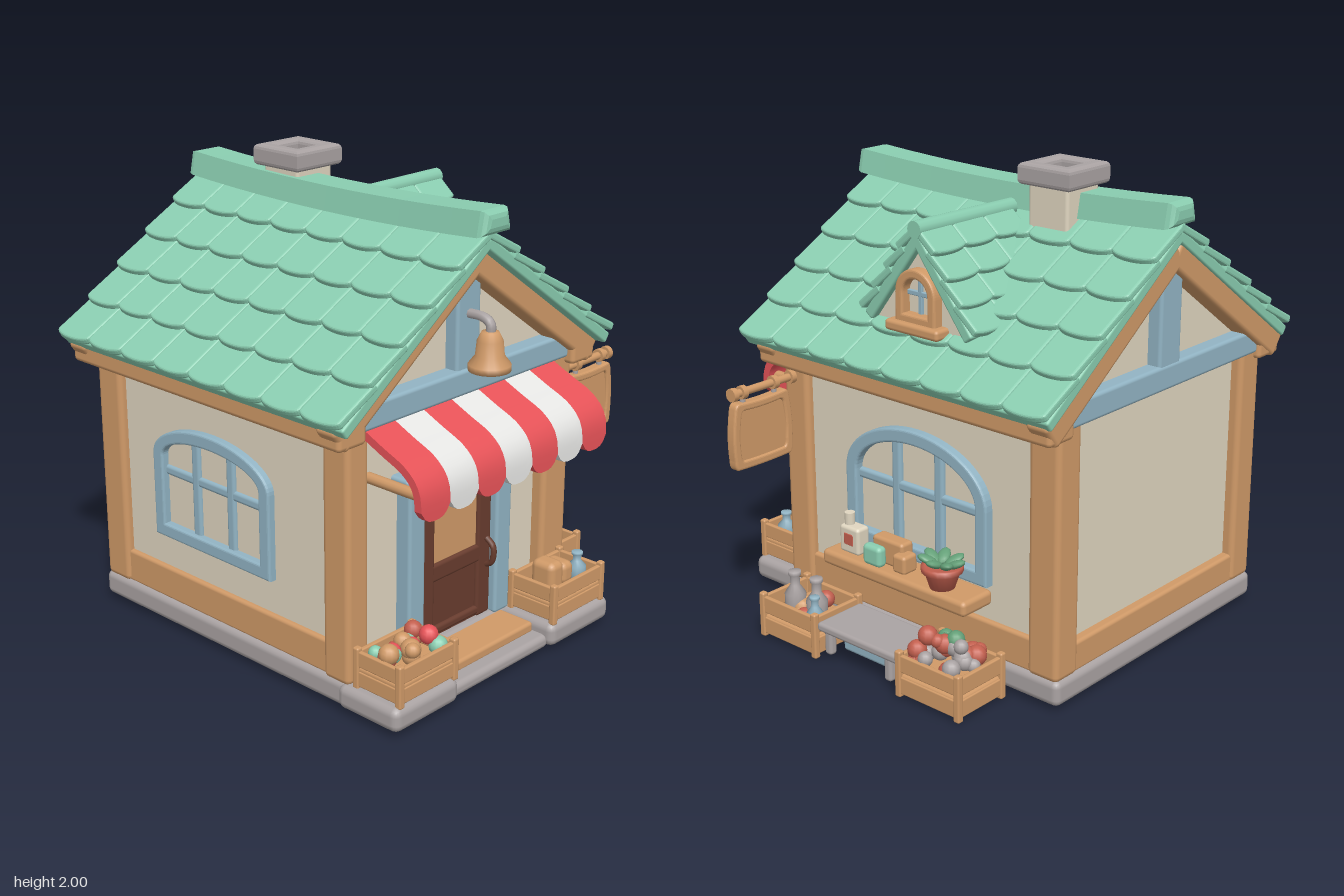
import * as THREE from 'three';
import { RoundedBoxGeometry } from 'three/addons/geometries/RoundedBoxGeometry.js';

const mat = (name, color) => Object.assign(new THREE.MeshStandardMaterial({ color }), { name });
const M = {
  roof: mat('roofGreen', 0x8acdb0), wood: mat('wood', 0xd09a68), plaster: mat('plaster', 0xe0d6c0),
  blue: mat('blueTrim', 0x92b4c4), stone: mat('stoneGrey', 0xaaa3a3), dark: mat('doorBrown', 0x683c2e),
  red: mat('red', 0xea5459), white: mat('white', 0xe6e6e4), clay: mat('clayRed', 0xc4604f), leaf: mat('leafGreen', 0x64a078),
};
const CX = -0.1; // centre line of the house

function add(parent, name, geo, material, x = 0, y = 0, z = 0) {
  const m = new THREE.Mesh(geo, material);
  m.name = name;
  m.position.set(x, y, z);
  parent.add(m);
  return m;
}
// rounded box given by its limits
function block(parent, name, material, x0, x1, y0, y1, z0, z1, r = 0.015) {
  const w = x1 - x0, h = y1 - y0, d = z1 - z0;
  const geo = new RoundedBoxGeometry(w, h, d, 2, Math.min(r, w / 2.2, h / 2.2, d / 2.2));
  return add(parent, name, geo, material, (x0 + x1) / 2, (y0 + y1) / 2, (z0 + z1) / 2);
}
function group(parent, name, x = 0, y = 0, z = 0, ry = 0) {
  const g = new THREE.Group();
  g.name = name;
  g.position.set(x, y, z);
  g.rotation.y = ry;
  parent.add(g);
  return g;
}
const poly = pts => new THREE.Shape(pts.map(p => new THREE.Vector2(...p)));
const extrude = (shape, depth, bevel = 0, steps = 1) => new THREE.ExtrudeGeometry(shape, {
  depth, steps, curveSegments: 16, bevelEnabled: bevel > 0, bevelSize: bevel, bevelThickness: bevel, bevelOffset: -bevel, bevelSegments: 3 });
function rod(parent, name, material, a, b, r) {
  const curve = new THREE.LineCurve3(new THREE.Vector3(...a), new THREE.Vector3(...b));
  const m = add(parent, name, new THREE.CylinderGeometry(r, r, curve.getLength(), 12), material);
  m.position.copy(curve.getPoint(0.5));
  m.quaternion.setFromUnitVectors(new THREE.Vector3(0, 1, 0), curve.getTangent(0));
}
// arch outline: straight sides, elliptical top
function arch(Cls, hw, y0, ySpring, yTop) {
  const s = new Cls();
  s.moveTo(-hw, y0); s.lineTo(hw, y0); s.lineTo(hw, ySpring);
  s.absellipse(0, ySpring, hw, yTop - ySpring, 0, Math.PI, false);
  s.lineTo(-hw, y0);
  return s;
}
function archFrame(hw, y0, spring, top, t, depth) {
  const s = arch(THREE.Shape, hw, y0, spring, top);
  s.holes.push(arch(THREE.Path, hw - t, y0 + t, spring, top - t));
  return extrude(s, depth, 0.01);
}
// one roof slope of overlapping scalloped tiles, hung from its top edge
function slope(parent, name, cols, rows, w, h, s, ry, x, y, z) {
  const g = group(parent, name, x, y, z);
  g.rotation.set(s - Math.PI / 2, ry, 0, 'YXZ');
  block(g, 'roofBoard', M.roof, -cols * w / 2 + 0.005, cols * w / 2 - 0.005, -rows * h, 0, -0.04, 0.008, 0.01);
  const shape = new THREE.Shape();
  shape.moveTo(-w / 2, 0.02);
  shape.lineTo(-w / 2, -h * 0.97);
  shape.bezierCurveTo(-w * 0.42, -h * 1.17, w * 0.42, -h * 1.17, w / 2, -h * 0.97);
  shape.lineTo(w / 2, 0.02);
  const geo = extrude(shape, 0.014, 0.01);
  for (let r = 0; r < rows; r++) for (let c = 0; c < cols; c++) {
    const t = add(g, 'roofTile', geo, M.roof, (c - (cols - 1) / 2) * w, -r * h, 0.005);
    t.rotation.x = -0.025 / h;
  }
}
// open slatted crate standing on its base centre
function crate(parent, x, y, z, w, h, d) {
  const g = group(parent, 'crate', x, y, z), t = 0.03;
  block(g, 'crateBottom', M.wood, -w / 2 + 0.01, w / 2 - 0.01, 0.01, 0.1, -d / 2 + 0.01, d / 2 - 0.01);
  for (const i of [-1, 1]) {
    for (const k of [-1, 1]) block(g, 'cratePost', M.wood, i * (w / 2 - t / 2) - t / 2, i * (w / 2 - t / 2) + t / 2, 0, h, k * (d / 2 - t / 2) - t / 2, k * (d / 2 - t / 2) + t / 2, 0.008);
    for (const [y0, y1] of [[0.015, h * 0.45], [h * 0.55, h * 0.92]]) {
      const a = i * (d / 2 - 0.016), b = i * (w / 2 - 0.016);
      block(g, 'crateSlat', M.wood, -w / 2 + 0.01, w / 2 - 0.01, y0, y1, a - 0.01, a + 0.01, 0.006);
      block(g, 'crateSlat', M.wood, b - 0.01, b + 0.01, y0, y1, -d / 2 + 0.01, d / 2 - 0.01, 0.006);
    }
  }
  return g;
}
let seed = 7;
const rand = () => (seed = (seed * 16807) % 2147483647) / 2147483647;
function produce(g, w, d, y, n, mats) {
  for (let i = 0; i < n; i++) add(g, 'produce', new THREE.SphereGeometry(0.028 + rand() * 0.014, 12, 8), mats[i % mats.length],
    (rand() - 0.5) * w, y + rand() * 0.05, (rand() - 0.5) * d);
}
function bottle(g, material, x, y, z, r, h) {
  const p = [[0, 0], [r, 0], [r, 0.55], [r * 0.45, 0.72], [r * 0.45, 0.9], [r * 0.6, 0.92], [r * 0.6, 1], [0, 1]];
  add(g, 'bottle', new THREE.LatheGeometry(p.map(q => new THREE.Vector2(q[0], q[1] * h)), 14), material, x, y, z);
}
// arched window with bars, facing +z locally
function archedWindow(parent, name, x, z, ry, hw, spring, top) {
  const g = group(parent, name, x, 0, z, ry);
  add(g, 'windowFrame', archFrame(hw, 0.42, spring, top, 0.06, 0.05), M.blue, 0, 0, -0.01);
  for (const u of [-0.3 * hw, 0.3 * hw]) block(g, 'windowBar', M.blue, u - 0.025, u + 0.025, 0.44, top - 0.05, -0.01, 0.03);
  block(g, 'windowBar', M.blue, -hw + 0.03, hw - 0.03, 0.695, 0.74, -0.01, 0.028);
}

export function createModel() {
  const house = new THREE.Group();
  house.name = 'shop';

  // stone base and door step
  block(house, 'foundation', M.stone, -0.78, 0.58, 0.02, 0.13, -0.87, 0.64, 0.03);
  block(house, 'porchStone', M.stone, -0.8, -0.43, 0.025, 0.13, 0.58, 0.9, 0.035);
  block(house, 'porchStone', M.stone, 0.15, 0.55, 0.025, 0.13, 0.58, 0.9, 0.035);
  block(house, 'porchStone', M.stone, -0.45, 0.17, 0.02, 0.08, 0.58, 0.87, 0.025);
  block(house, 'doorStep', M.wood, -0.43, 0.15, 0.07, 0.12, 0.58, 0.8);

  // walls with gables
  add(house, 'walls', extrude(poly([[CX - 0.64, 0.1], [CX + 0.64, 0.1], [CX + 0.64, 1.26], [CX, 1.74], [CX - 0.64, 1.26]]), 1.38), M.plaster, 0, 0, -0.81);

  // timber frame
  block(house, 'frontPost', M.wood, -0.78, -0.66, 0.12, 1.2, 0.49, 0.63, 0.025);
  block(house, 'frontPost', M.wood, 0.41, 0.575, 0.12, 1.2, 0.49, 0.63, 0.025);
  for (const s of [-1, 1]) {
    const px = CX + s * 0.605, ex = CX + s * 0.695;
    block(house, 'backPost', M.wood, px - 0.07, px + 0.07, 0.12, 1.2, -0.86, -0.71, 0.025);
    block(house, 'sideSill', M.wood, px - 0.055, px + 0.055, 0.12, 0.27, -0.8, 0.55);
    block(house, 'eaveBeam', M.wood, ex - 0.075, ex + 0.075, 1.125, 1.225, -0.89, 0.675, 0.02);
    for (const z of [0.62, -0.84]) {
      const b = add(house, 'gableBoard', new RoundedBoxGeometry(0.95, 0.115, 0.11, 2, 0.02), M.wood, CX + s * 0.375, 1.435, z);
      b.rotation.z = -s * 0.62;
    }
  }
  block(house, 'backSill', M.wood, -0.7, 0.5, 0.12, 0.25, -0.85, -0.78);
  for (const z of [0.59, -0.83]) {
    block(house, 'gableBeam', M.blue, -0.73, 0.53, 1.155, 1.26, z - 0.045, z + 0.055);
    block(house, 'gablePost', M.blue, CX - 0.07, CX + 0.07, 1.22, 1.7, z - 0.04, z + 0.04);
  }

  // roof and sagging ridge cap
  for (const s of [-1, 1]) slope(house, 'roofSlope', 8, 5, 0.205, 0.196, 0.615, s * Math.PI / 2, CX, 1.795, -0.09);
  const ridge = extrude(poly([[-0.09, 1.785], [0.09, 1.785], [0.07, 1.885], [-0.07, 1.885]]), 1.61, 0.035, 12);
  ridge.translate(CX, 0, -0.88);
  const rp = ridge.attributes.position;
  for (let i = 0; i < rp.count; i++) rp.setY(i, rp.getY(i) + 0.03 * ((rp.getZ(i) + 0.08) / 0.84) ** 2);
  ridge.computeVertexNormals();
  add(house, 'ridgeCap', ridge, M.roof);

  // chimney with hollow cap
  const chimney = group(house, 'chimney', -0.05, 0, -0.365);
  block(chimney, 'chimneyStack', M.plaster, -0.1, 0.1, 1.6, 1.93, -0.1, 0.1);
  block(chimney, 'chimneyHole', M.wood, -0.085, 0.085, 1.9, 1.945, -0.085, 0.085, 0.005);
  const sq = r => [[-r, -r], [r, -r], [r, r], [-r, r]];
  const cap = poly(sq(0.13));
  cap.holes.push(new THREE.Path(sq(0.062).map(p => new THREE.Vector2(...p))));
  add(chimney, 'chimneyCap', extrude(cap, 0.05, 0.02), M.stone, 0, 1.93, 0).rotation.x = -Math.PI / 2;

  // dormer
  const dormer = group(house, 'dormer', 0.53, 0, -0.135, Math.PI / 2);
  add(dormer, 'dormerWall', extrude(poly([[-0.27, 1.38], [0.27, 1.38], [0, 1.75]]), 0.4), M.plaster, 0, 0, -0.4);
  add(dormer, 'dormerFrame', archFrame(0.105, 1.42, 1.54, 1.645, 0.04, 0.04), M.wood, 0, 0, -0.005);
  block(dormer, 'dormerSill', M.wood, -0.14, 0.14, 1.385, 1.43, -0.02, 0.07);
  block(dormer, 'dormerBar', M.blue, -0.01, 0.01, 1.45, 1.62, -0.01, 0.012, 0.004);
  block(dormer, 'dormerBar', M.blue, -0.07, 0.07, 1.53, 1.55, -0.01, 0.012, 0.004);
  for (const s of [0, Math.PI]) slope(house, 'dormerSlope', 3, 4, 0.182, 0.115, 0.92, s, 0.295, 1.785, -0.135);
  rod(house, 'dormerRidge', M.roof, [0.0, 1.795, -0.135], [0.57, 1.8, -0.135], 0.035);

  // door and its blue surround
  block(house, 'door', M.dark, -0.36, 0.1, 0.12, 0.84, 0.55, 0.6, 0.01);
  block(house, 'doorPane', M.wood, -0.265, 0.0, 0.46, 0.75, 0.595, 0.604, 0.003);
  for (const [y0, y1] of [[0.14, 0.18], [0.38, 0.46], [0.75, 0.83]]) block(house, 'doorRail', M.dark, -0.34, 0.08, y0, y1, 0.58, 0.615);
  for (const x of [-0.35, 0.0]) block(house, 'doorStile', M.dark, x, x + 0.085, 0.13, 0.83, 0.58, 0.616);
  const pull = new THREE.CatmullRomCurve3([[0.62, 0.36], [0.65, 0.38], [0.655, 0.45], [0.62, 0.48]].map(p => new THREE.Vector3(0.05, p[1], p[0])));
  add(house, 'doorHandle', new THREE.TubeGeometry(pull, 12, 0.013, 8), M.dark);
  block(house, 'doorJamb', M.blue, -0.445, -0.35, 0.12, 0.85, 0.55, 0.64);
  block(house, 'doorJamb', M.blue, 0.09, 0.185, 0.12, 0.85, 0.55, 0.64);
  block(house, 'doorLintel', M.blue, -0.48, 0.235, 0.825, 0.9, 0.55, 0.66);

  // striped awning with scalloped hem
  const fall = new THREE.SplineCurve([[0.61, 1.15], [0.72, 1.1], [0.83, 1.05], [0.89, 0.98], [0.9, 0.86]].map(p => new THREE.Vector2(...p)));
  const sw = 1.13 / 7;
  for (let i = 0; i < 7; i++) {
    const geo = new THREE.BoxGeometry(sw, 1, 0.034, 8, 14, 1), p = geo.attributes.position;
    for (let k = 0; k < p.count; k++) {
      const v = (0.5 - p.getY(k)) * (1 - 0.11 * Math.abs(2 * p.getX(k) / sw) ** 3);
      const c = fall.getPointAt(v), t = fall.getTangentAt(v), n = p.getZ(k);
      p.setXYZ(k, p.getX(k), c.y + t.x * n, c.x - t.y * n);
    }
    geo.computeVertexNormals();
    add(house, 'awningStripe', geo, i % 2 ? M.white : M.red, -0.69 + (i + 0.5) * sw);
  }
  for (const x of [-0.64, 0.39]) rod(house, 'awningArm', M.wood, [x, 0.95, 0.6], [x, 0.95, 0.89], 0.022);

  // bell on a hook
  const hook = new THREE.CatmullRomCurve3([[1.48, 0.6], [1.48, 0.7], [1.46, 0.735], [1.41, 0.735]].map(p => new THREE.Vector3(CX, p[0], p[1])));
  add(house, 'bellHook', new THREE.TubeGeometry(hook, 16, 0.02, 8), M.stone);
  const bell = [[0, 0.16], [0.035, 0.155], [0.052, 0.12], [0.058, 0.06], [0.085, 0.025], [0.085, 0], [0.06, 0], [0, 0.03]];
  add(house, 'bell', new THREE.LatheGeometry(bell.reverse().map(p => new THREE.Vector2(...p)), 20), M.wood, CX, 1.275, 0.735);
  add(house, 'bellClapper', new THREE.SphereGeometry(0.024, 12, 8), M.wood, CX, 1.275, 0.735);

  // hanging sign board
  rod(house, 'signRod', M.wood, [0.54, 1.065, 0.565], [0.92, 1.065, 0.565], 0.017);
  for (const x of [0.595, 0.69, 0.86, 0.91]) rod(house, 'signRing', M.wood, [x - 0.012, 1.065, 0.565], [x + 0.012, 1.065, 0.565], 0.029);
  for (const x of [0.69, 0.86]) rod(house, 'signLink', M.stone, [x, 1.06, 0.565], [x, 1.0, 0.565], 0.012);
  const board = (a, b) => {
    const s = new THREE.Shape();
    s.moveTo(-a * 0.88, -b);
    s.quadraticCurveTo(0, -b * 1.05, a * 0.88, -b); s.quadraticCurveTo(a, -b, a, -b * 0.7);
    s.quadraticCurveTo(a * 1.07, 0, a * 0.93, b * 0.8); s.quadraticCurveTo(a * 0.9, b, a * 0.75, b * 0.98);
    s.quadraticCurveTo(0, b * 0.9, -a * 0.75, b * 0.98); s.quadraticCurveTo(-a * 0.9, b, -a * 0.93, b * 0.8);
    s.quadraticCurveTo(-a * 1.07, 0, -a, -b * 0.7); s.quadraticCurveTo(-a, -b, -a * 0.88, -b);
    return s;
  };
  const rim = board(0.158, 0.145);
  rim.holes.push(board(0.122, 0.108));
  add(house, 'signRim', extrude(rim, 0.03, 0.01), M.wood, 0.772, 0.885, 0.55);
  add(house, 'signPanel', extrude(board(0.14, 0.125), 0.03), M.wood, 0.772, 0.885, 0.55);

  // side windows
  archedWindow(house, 'rightWindow', 0.53, -0.12, Math.PI / 2, 0.385, 0.74, 0.98);
  archedWindow(house, 'leftWindow', -0.725, -0.16, -Math.PI / 2, 0.35, 0.79, 0.945);

  // shelf with goods
  block(house, 'shelf', M.wood, 0.54, 0.715, 0.34, 0.405, -0.51, 0.28, 0.02);
  block(house, 'shelfJar', M.plaster, 0.6, 0.67, 0.4, 0.52, 0.11, 0.22);
  rod(house, 'jarNeck', M.plaster, [0.635, 0.5, 0.19], [0.635, 0.57, 0.19], 0.022);
  block(house, 'jarLabel', M.clay, 0.664, 0.673, 0.44, 0.49, 0.14, 0.19, 0.003);
  block(house, 'shelfBox', M.wood, 0.58, 0.65, 0.4, 0.515, -0.12, 0.05);
  block(house, 'shelfTin', M.roof, 0.65, 0.7, 0.4, 0.49, -0.04, 0.06, 0.02);
  block(house, 'shelfBox', M.wood, 0.6, 0.68, 0.4, 0.48, -0.16, -0.09);
  const pot = [[0, 0], [0.05, 0], [0.072, 0.07], [0.085, 0.075], [0.085, 0.098], [0.07, 0.098], [0, 0.085]];
  add(house, 'flowerPot', new THREE.LatheGeometry(pot.map(p => new THREE.Vector2(...p)), 18), M.clay, 0.65, 0.4, -0.34);
  for (let i = 0; i < 7; i++) {
    const a = i * 0.9, f = add(house, 'leaf', new THREE.SphereGeometry(0.045, 10, 8), M.leaf, 0.65 + Math.cos(a) * 0.045, 0.515, -0.34 + Math.sin(a) * 0.065);
    f.scale.set(1, 0.35, 0.6);
    f.rotation.set(0, -a, 0.4);
  }

  // bench beside the wall
  block(house, 'benchTop', M.stone, 0.62, 0.87, 0.125, 0.165, -0.3, 0.16);
  for (const z of [-0.22, 0.12]) for (const x of [0.66, 0.83]) block(house, 'benchLeg', M.stone, x - 0.02, x + 0.02, 0.02, 0.14, z - 0.02, z + 0.02);
  block(house, 'blueBox', M.blue, 0.62, 0.78, 0.025, 0.11, -0.17, 0.1);

  // crates of goods
  const sideA = crate(house, 0.745, 0, 0.325, 0.28, 0.2, 0.34);
  bottle(sideA, M.stone, 0.04, 0.08, 0.05, 0.045, 0.22);
  bottle(sideA, M.stone, 0.03, 0.08, -0.07, 0.045, 0.22);
  bottle(sideA, M.blue, 0.07, 0.08, -0.1, 0.035, 0.16);
  produce(sideA, 0.18, 0.24, 0.11, 8, [M.wood, M.clay, M.wood]);
  const sideB = crate(house, 0.745, 0, -0.465, 0.28, 0.2, 0.34);
  produce(sideB, 0.2, 0.25, 0.16, 24, [M.clay, M.stone]);
  produce(sideB, 0.12, 0.17, 0.21, 9, [M.stone, M.clay, M.leaf]);
  const frontA = crate(house, -0.6, 0.12, 0.765, 0.34, 0.18, 0.25);
  produce(frontA, 0.24, 0.15, 0.14, 18, [M.wood, M.clay, M.roof, M.wood, M.red]);
  const frontB = crate(house, 0.345, 0.12, 0.765, 0.35, 0.18, 0.25);
  block(frontB, 'loaf', M.wood, -0.11, -0.02, 0.1, 0.23, -0.06, 0.06, 0.03);
  block(frontB, 'loaf', M.wood, -0.02, 0.06, 0.1, 0.2, -0.07, 0.05, 0.03);
  bottle(frontB, M.blue, 0.1, 0.08, 0.03, 0.04, 0.14);
  return house;
}
